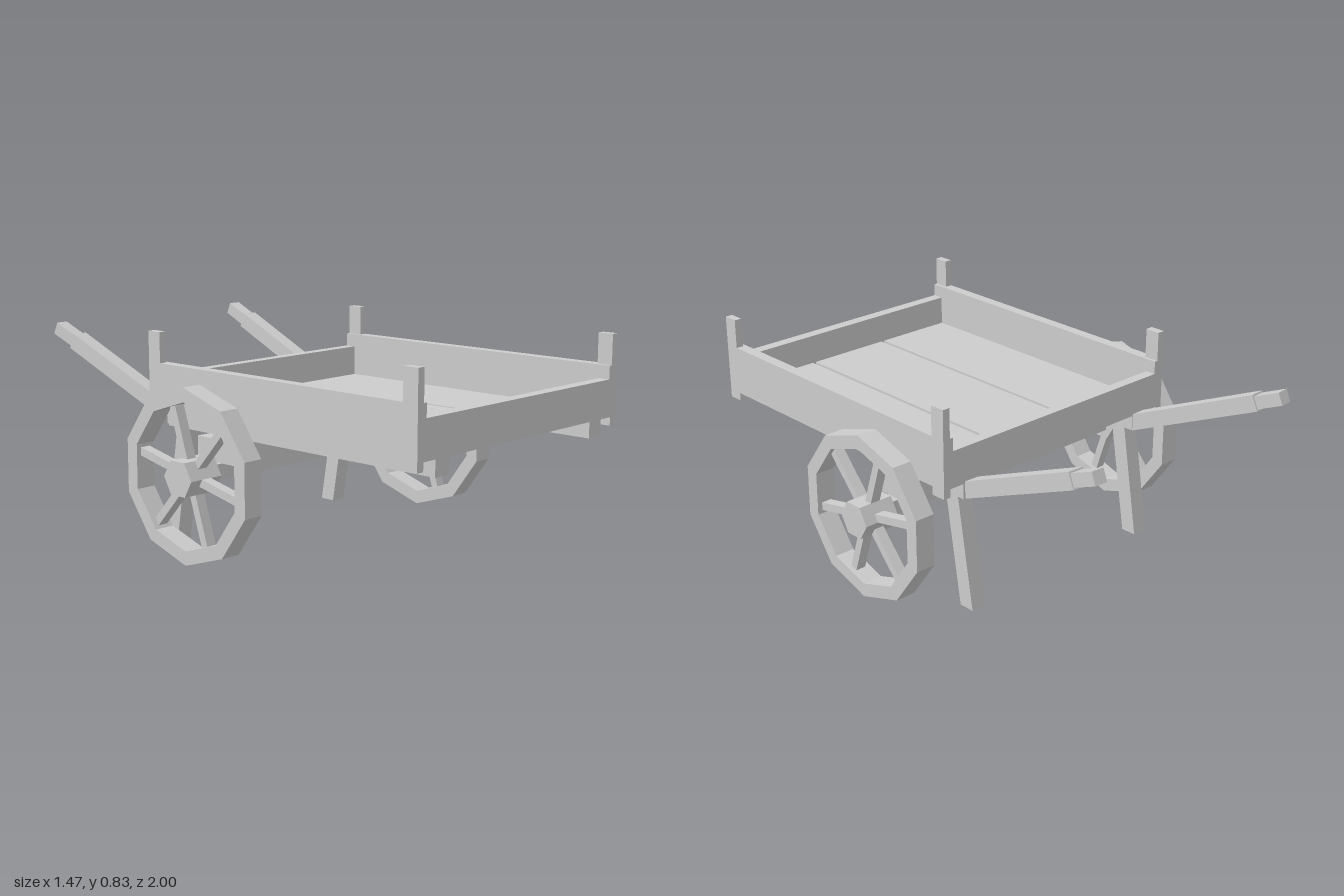
import * as THREE from 'three';

export function createModel() {
  const model = new THREE.Group();
  model.name = 'handCart';
  const wood = new THREE.MeshStandardMaterial({ color: 0xcccccc });
  wood.name = 'plain grey wood';
  wood.flatShading = true;

  const add = (parent, name, geometry) => {
    const mesh = new THREE.Mesh(geometry, wood);
    mesh.name = name;
    parent.add(mesh);
    return mesh;
  };
  // Box given by its limits on each axis
  const box = (name, x0, x1, y0, y1, z0, z1) => {
    const g = new THREE.BoxGeometry(Math.abs(x1 - x0), y1 - y0, z1 - z0);
    return add(model, name, g.translate((x0 + x1) / 2, (y0 + y1) / 2, (z0 + z1) / 2));
  };
  // Square bar running between two points
  const bar = (name, a, b, width, height) => {
    const mesh = add(model, name, new THREE.BoxGeometry(width, height, a.distanceTo(b)));
    mesh.position.copy(a).lerp(b, 0.5);
    mesh.lookAt(b);
  };

  const front = 1, back = -0.325;

  // Floor planks
  box('floorPlankRight', -0.54, -0.195, 0.517, 0.54, back + 0.02, front - 0.02);
  box('floorPlankMiddle', -0.18, 0.18, 0.517, 0.54, back + 0.02, front - 0.02);
  box('floorPlankLeft', 0.195, 0.54, 0.517, 0.54, back + 0.02, front - 0.02);

  // End boards
  box('frontBoard', -0.54, 0.54, 0.515, 0.66, front - 0.047, front);
  box('backBoard', -0.54, 0.54, 0.515, 0.66, back, back + 0.043);

  // Cross beam and axle
  box('axleBeam', -0.545, 0.545, 0.365, 0.453, -0.095, 0.105);
  box('axle', -0.6, 0.6, 0.305, 0.365, -0.025, 0.035);

  // Ten-sided ring for the wheel rim
  const ring = (Kind, r) => {
    const path = new Kind();
    const pts = [];
    for (let i = 0; i < 10; i++) {
      const a = Math.PI / 2 + (i * Math.PI) / 5;
      pts.push(new THREE.Vector2(Math.cos(a) * r, Math.sin(a) * r));
    }
    return path.setFromPoints(pts);
  };
  const rimShape = ring(THREE.Shape, 0.333);
  rimShape.holes.push(ring(THREE.Path, 0.278));
  const rimGeometry = new THREE.ExtrudeGeometry(rimShape, { depth: 0.083, bevelEnabled: false });
  rimGeometry.translate(0, 0, -0.0415);
  const hubGeometry = new THREE.CylinderGeometry(0.074, 0.074, 0.148, 6);
  hubGeometry.rotateX(Math.PI / 2).rotateZ(Math.PI / 2);

  for (const s of [-1, 1]) {
    const side = s > 0 ? 'left' : 'right';

    // Side board, corner posts and under-rail
    box(side + 'SideBoard', s * 0.535, s * 0.58, 0.515, 0.712, back, front);
    box(side + 'FrontPost', s * 0.549, s * 0.58, 0.482, 0.83, front - 0.063, front);
    box(side + 'BackPost', s * 0.549, s * 0.58, 0.482, 0.83, back, back + 0.063);
    box(side + 'Rail', s * 0.412, s * 0.487, 0.453, 0.516, back, front);

    // Handle with a thinner grip
    const start = new THREE.Vector3(s * 0.446, 0.481, -0.31);
    const neck = new THREE.Vector3(s * 0.481, 0.731, -0.885);
    const tip = new THREE.Vector3(s * 0.489, 0.775, -0.988);
    bar(side + 'Handle', start, neck, 0.064, 0.064);
    bar(side + 'Grip', neck, tip, 0.052, 0.05);

    // Leg leaning back toward the ground
    const leg = new THREE.BoxGeometry(0.066, 0.46, 0.066).translate(s * 0.446, 0.23, -0.326);
    const p = leg.attributes.position;
    for (let i = 0; i < p.count; i++) p.setZ(i, p.getZ(i) + p.getY(i) * 0.165);
    leg.computeVertexNormals();
    add(model, side + 'Leg', leg);

    // Wheel
    const wheel = new THREE.Group();
    wheel.name = side + 'Wheel';
    add(wheel, 'rim', rimGeometry);
    add(wheel, 'hub', hubGeometry);
    for (let i = 0; i < 6; i++) {
      const spoke = new THREE.BoxGeometry(0.24, 0.031, 0.042).translate(0.16, 0, 0);
      add(wheel, 'spoke', spoke.rotateZ((12 + i * 60) * Math.PI / 180));
    }
    wheel.rotation.y = Math.PI / 2;
    wheel.position.set(s * 0.662, 0.333, 0.004);
    model.add(wheel);
  }
  return model;
}
